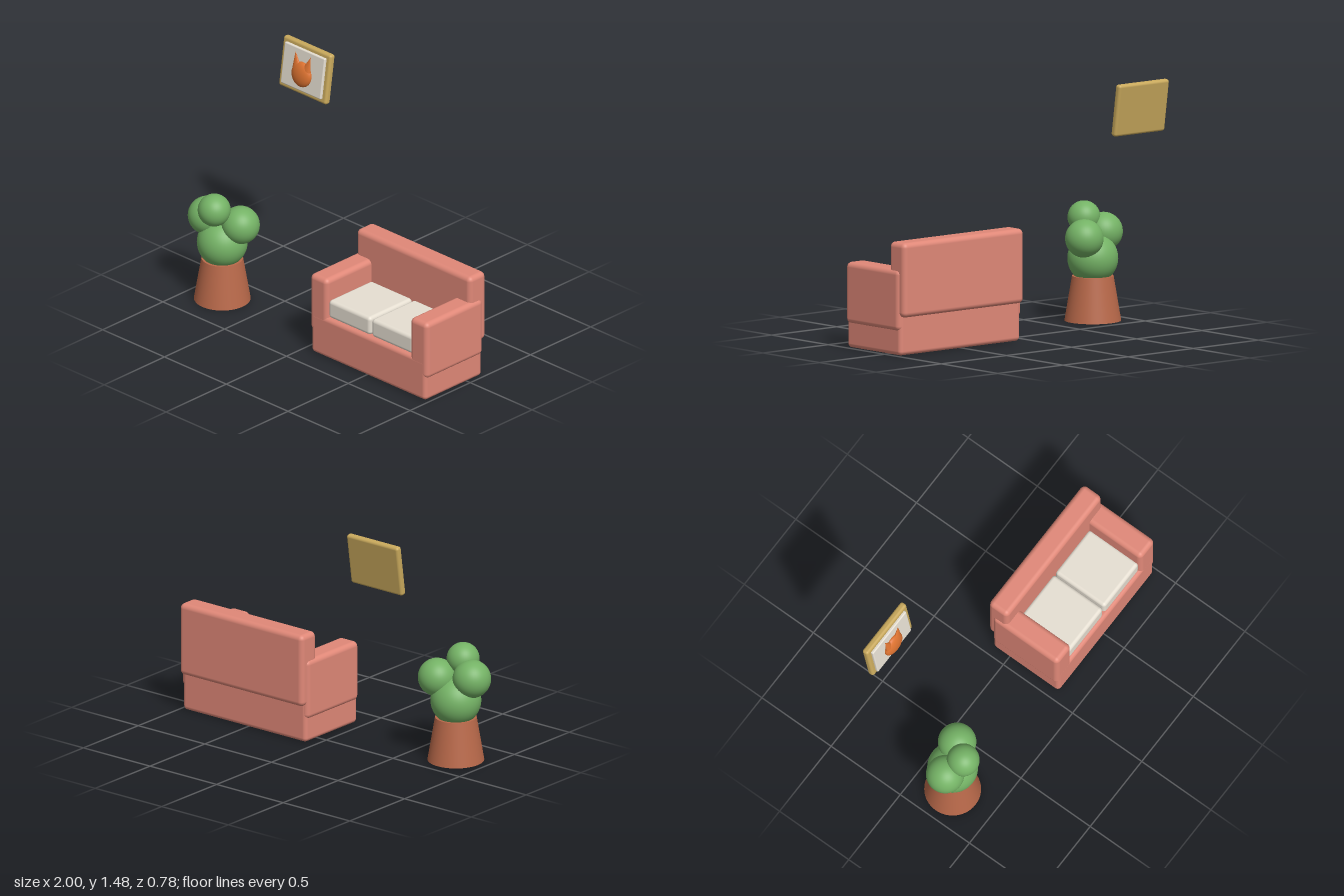
import * as THREE from 'three';
import { RoundedBoxGeometry } from 'three/addons/geometries/RoundedBoxGeometry.js';

const material = (color) => new THREE.MeshStandardMaterial({ color });
const COLORS = {
  coral: material(0xe08878), cream: material(0xe6dfd2), leaf: material(0x74b265),
  clay: material(0xb9694a), gold: material(0xc9a95c), orange: material(0xdc7230),
};

function add(parent, name, geometry, mat, x, y, z) {
  const mesh = new THREE.Mesh(geometry, mat);
  mesh.name = name;
  mesh.position.set(x, y, z);
  parent.add(mesh);
  return mesh;
}

const pad = (w, h, d, r) => new RoundedBoxGeometry(w, h, d, 4, r);

function createSofa() {
  const sofa = new THREE.Group();
  sofa.name = 'sofa';
  sofa.position.x = 0.52;
  add(sofa, 'sofaBase', pad(0.925, 0.257, 0.475, 0.025), COLORS.coral, 0, 0.1285, 0.119);
  add(sofa, 'sofaBack', pad(0.925, 0.437, 0.137, 0.03), COLORS.coral, 0, 0.443, -0.084);
  // Mirrored arms and seat cushions
  for (const [side, label] of [[1, 'left'], [-1, 'right']]) {
    add(sofa, label + 'Arm', pad(0.14, 0.36, 0.472, 0.03), COLORS.coral, side * 0.405, 0.322, 0.12);
    add(sofa, label + 'Cushion', pad(0.338, 0.115, 0.36, 0.022), COLORS.cream, side * 0.174 + 0.002, 0.312, 0.158);
  }
  return sofa;
}

function createPlant() {
  const plant = new THREE.Group();
  plant.name = 'pottedPlant';
  plant.position.set(-0.79, 0, 0.222);
  // Pot is wider at the foot
  add(plant, 'pot', new THREE.CylinderGeometry(0.121, 0.165, 0.262, 48), COLORS.clay, 0, 0.131, 0);
  // Foliage balls: radius, x, y, z
  const balls = [
    [0.148, 0, 0.365, 0], [0.112, -0.102, 0.51, 0.022],
    [0.112, 0.104, 0.494, -0.045], [0.096, 0.005, 0.598, 0.072],
  ];
  for (const [r, x, y, z] of balls) {
    add(plant, 'foliage', new THREE.SphereGeometry(r, 40, 28), COLORS.leaf, x, y, z);
  }
  return plant;
}

function createPainting() {
  const painting = new THREE.Group();
  painting.name = 'painting';
  painting.position.set(-0.66, 1.322, -0.347);
  painting.rotation.x = -0.145; // top leans back
  add(painting, 'frame', pad(0.385, 0.31, 0.042, 0.016), COLORS.gold, 0, 0, 0);
  add(painting, 'canvas', pad(0.325, 0.255, 0.03, 0.008), COLORS.cream, 0, 0, 0.022);
  // Raised animal head with two pointed ears
  add(painting, 'animalHead', new THREE.SphereGeometry(0.076, 40, 28), COLORS.orange, 0, -0.022, 0.04).scale.z = 0.43;
  for (const side of [1, -1]) {
    const ear = add(painting, 'animalEar', new THREE.ConeGeometry(0.031, 0.092, 32), COLORS.orange, side * 0.05, 0.06, 0.046);
    ear.rotation.z = -side * 0.25;
    ear.scale.z = 0.5;
  }
  return painting;
}

export function createModel() {
  const model = new THREE.Group();
  model.name = 'livingRoomSet';
  model.add(createSofa(), createPlant(), createPainting());
  return model;
}
